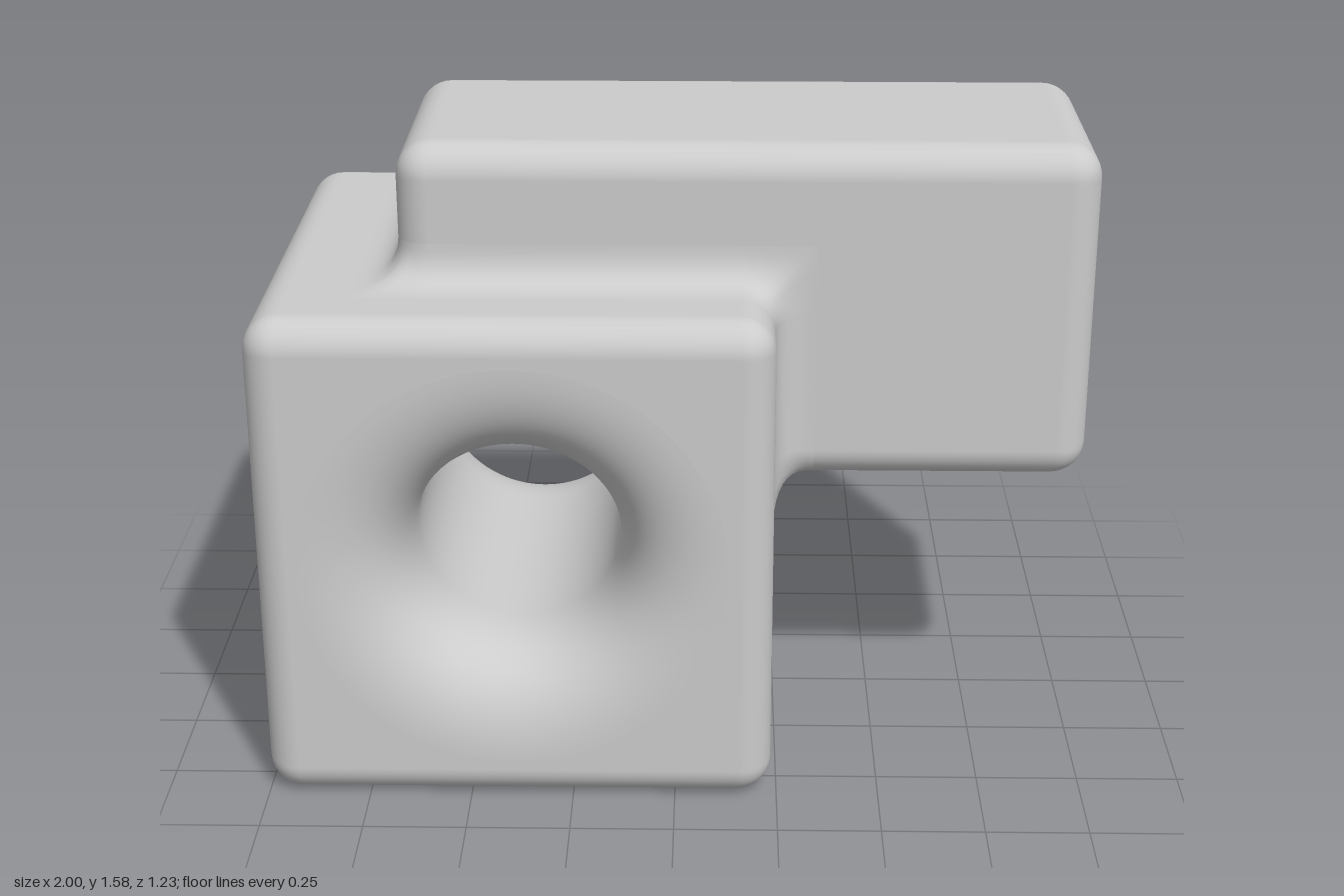
import * as THREE from 'three';

const R = 0.08; // radius of the convex edges
const FILLET = 0.1; // reach of the concave blend
const FLARE = 0.27; // reach of the hole's flared mouth
const HOLE = { x: -0.385, y: 0.62, r: 0.25 };
const BODY = new THREE.Box3(new THREE.Vector3(-1, 0, -0.617), new THREE.Vector3(0.235, 1.24, 0.617));
const BEAM = new THREE.Box3(new THREE.Vector3(-0.665, 0.735, -0.333), new THREE.Vector3(1, 1.575, 0.333));
const V = (x, y, z) => new THREE.Vector3(x, y, z);

// Right-angled outline with every corner rounded
function roundedShape(corners, r) {
  const pts = [];
  const list = corners.map(([x, y]) => new THREE.Vector2(x, y));
  list.forEach((c, i) => {
    const prev = list.at(i - 1).clone().sub(c).normalize();
    const next = list[(i + 1) % list.length].clone().sub(c).normalize();
    const centre = c.clone().addScaledVector(prev, r).addScaledVector(next, r);
    for (let k = 0; k <= 8; k++) {
      const t = (k / 8) * Math.PI / 2;
      pts.push(centre.clone().addScaledVector(next, -r * Math.cos(t)).addScaledVector(prev, -r * Math.sin(t)));
    }
  });
  return new THREE.Shape(pts);
}

// Bevelled block with smooth edges and flat faces
function softBlock(shape, box) {
  const half = box.max.z;
  const geo = new THREE.ExtrudeGeometry(shape, {
    depth: 2 * (half - R), steps: 1, curveSegments: 48,
    bevelEnabled: true, bevelSize: R, bevelThickness: R, bevelOffset: -R, bevelSegments: 8,
  });
  geo.translate(0, 0, -(half - R));
  // Normals point away from the inner, inset box
  const inner = box.clone().expandByScalar(-R);
  const pos = geo.attributes.position, nor = geo.attributes.normal;
  const p = V(0, 0, 0), q = V(0, 0, 0);
  for (let i = 0; i < pos.count; i++) {
    p.fromBufferAttribute(pos, i);
    inner.clampPoint(p, q);
    p.sub(q).normalize();
    if (p.lengthSq() > 0.5) nor.setXYZ(i, p.x, p.y, p.z);
  }
  return geo;
}

// Through hole, flared at both ends
function tunnelGeometry() {
  const half = BODY.max.z, pts = [];
  const mouth = new THREE.QuadraticBezierCurve(
    new THREE.Vector2(HOLE.r + FLARE, half),
    new THREE.Vector2(HOLE.r, half),
    new THREE.Vector2(HOLE.r, half - FLARE)).getPoints(20);
  pts.push(...mouth, ...mouth.map((p) => new THREE.Vector2(p.x, -p.y)).reverse());
  return new THREE.LatheGeometry(pts, 96).rotateX(Math.PI / 2).translate(HOLE.x, HOLE.y, 0);
}

// Concave blend swept along the line where the beam leaves the body
function filletGeometry() {
  const nodes = []; // each: [point on body, meeting point, point on beam]
  const arc = (centre, from, to, other, onBeamCorner) => {
    for (let k = 0; k <= 8; k++) {
      const t = (k / 8) * Math.PI / 2;
      const d = from.clone().multiplyScalar(Math.cos(t)).addScaledVector(to, Math.sin(t));
      const p = centre.clone().addScaledVector(d, R);
      const square = (R + FILLET) / Math.max(Math.cos(t), Math.sin(t));
      const mitred = centre.clone().addScaledVector(d, square);
      const straight = p.clone().addScaledVector(other, FILLET);
      nodes.push(onBeamCorner ? [mitred, p, straight] : [straight, p, mitred]);
    }
  };
  const right = BODY.max.x, top = BODY.max.y, side = BEAM.max.z;
  arc(V(right, BEAM.min.y + R, side - R), V(0, -1, 0), V(0, 0, 1), V(1, 0, 0), true);
  arc(V(right - R, top - R, side), V(1, 0, 0), V(0, 1, 0), V(0, 0, 1), false);
  arc(V(BEAM.min.x + R, top, side - R), V(0, 0, 1), V(-1, 0, 0), V(0, 1, 0), true);
  const mirrored = nodes.map((n) => n.map((p) => V(p.x, p.y, -p.z))).reverse();
  const loop = [...nodes, ...mirrored];

  const seg = 10, pos = [], idx = [];
  loop.forEach((n, i) => {
    new THREE.QuadraticBezierCurve3(...n).getPoints(seg).forEach((p) => pos.push(p.x, p.y, p.z));
    const a = i * (seg + 1), b = ((i + 1) % loop.length) * (seg + 1);
    for (let j = 0; j < seg; j++) idx.push(a + j, a + j + 1, b + j, b + j, a + j + 1, b + j + 1);
  });
  const geo = new THREE.BufferGeometry();
  geo.setAttribute('position', new THREE.Float32BufferAttribute(pos, 3));
  geo.setIndex(idx);
  geo.computeVertexNormals();
  return geo;
}

export function createModel() {
  const group = new THREE.Group();
  const material = new THREE.MeshStandardMaterial({ color: 0xcccccc });
  const add = (name, geometry) => {
    const mesh = new THREE.Mesh(geometry, material);
    mesh.name = name;
    group.add(mesh);
  };

  // Cube body with openings for the tunnel
  const { min: b0, max: b1 } = BODY;
  const bodyShape = roundedShape([[b0.x, b0.y], [b1.x, b0.y], [b1.x, b1.y], [b0.x, b1.y]], R + 0.005);
  const opening = new THREE.Path();
  opening.absarc(HOLE.x, HOLE.y, HOLE.r + FLARE - R - 0.005, 0, Math.PI * 2, true);
  bodyShape.holes.push(opening);
  add('body', softBlock(bodyShape, BODY));
  add('flaredHole', tunnelGeometry());

  // Beam, notched inside the body so that it clears the tunnel
  const { min: m0, max: m1 } = BEAM;
  const beamShape = roundedShape(
    [[m0.x, 1.0], [0.05, 1.0], [0.05, m0.y], [m1.x, m0.y], [m1.x, m1.y], [m0.x, m1.y]], R + 0.005);
  add('beam', softBlock(beamShape, BEAM));

  add('beamFillet', filletGeometry());
  return group;
}
